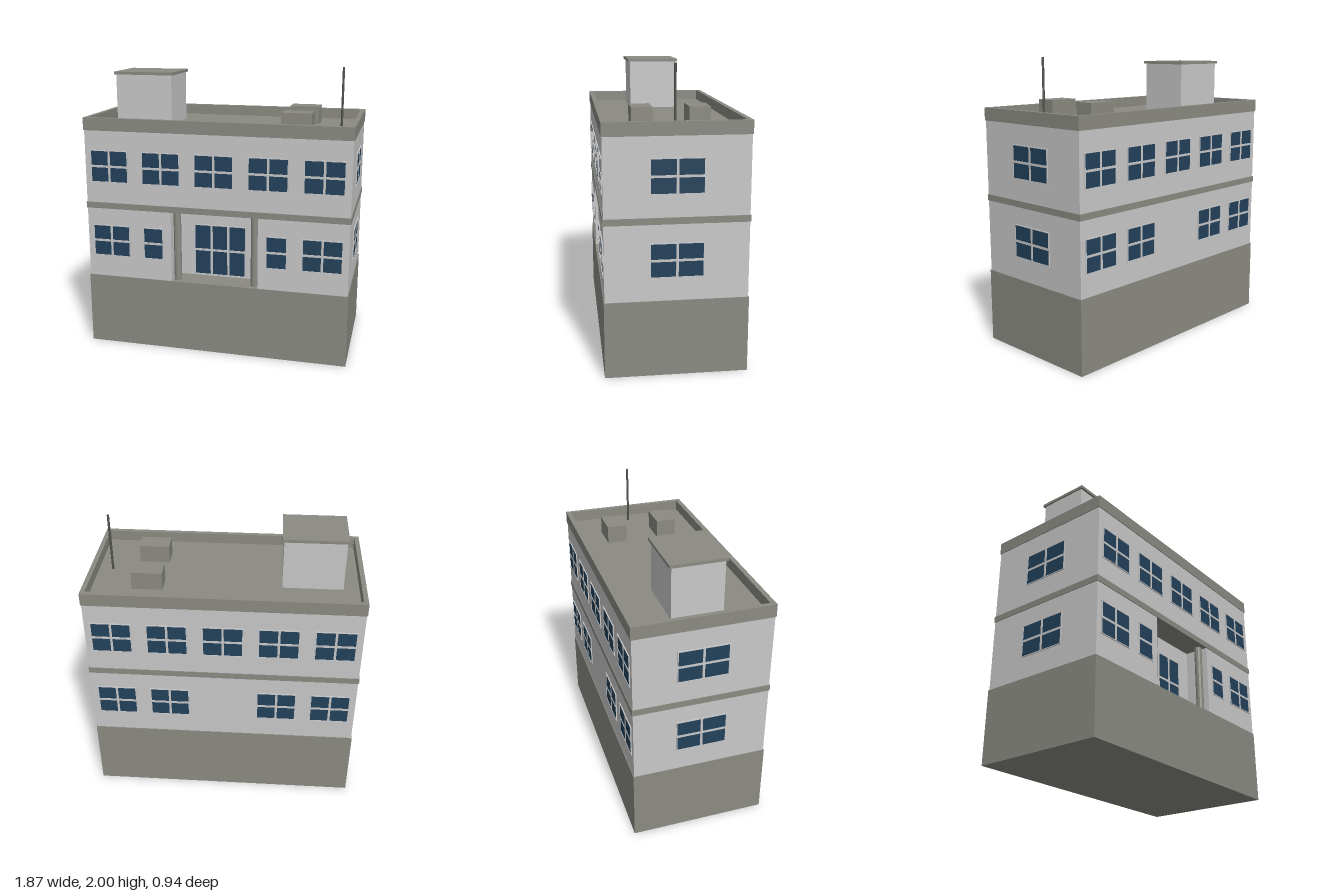
import * as THREE from 'three';

const mat = (name, color) => {
  const m = new THREE.MeshStandardMaterial({ color });
  m.name = name;
  return m;
};

export function createModel() {
  const model = new THREE.Group();
  model.name = 'building';
  const wallMat = mat('light grey wall', 0xc9c9c9);
  const trimMat = mat('warm grey concrete', 0x8b8b83);
  const glassMat = mat('dark blue glass', 0x22415b);
  const metalMat = mat('dark metal', 0x55554f);

  const X = 0.935, Z = 0.468;       // outer half sizes of base and trim
  const WX = 0.93, WZ = 0.463;      // half sizes of the walls
  const RX = 0.31, RZ = WZ - 0.175; // entrance recess: half width, back plane

  const add = (name, geo, material, parent = model) => {
    const m = new THREE.Mesh(geo, material);
    m.name = name;
    parent.add(m);
    return m;
  };
  // Box given by its lower and upper limits on each axis
  const box = (name, material, x0, x1, y0, y1, z0, z1, parent = model) => {
    const m = add(name, new THREE.BoxGeometry(x1 - x0, y1 - y0, z1 - z0), material, parent);
    m.position.set((x0 + x1) / 2, (y0 + y1) / 2, (z0 + z1) / 2);
    return m;
  };
  // Floor plan of [x, z] points raised to a height
  const plan = (name, material, pts, y0, y1, hole) => {
    const shape = new THREE.Shape(pts.map(([x, z]) => new THREE.Vector2(x, -z)));
    if (hole) shape.holes.push(new THREE.Path(hole.map(([x, z]) => new THREE.Vector2(x, -z))));
    const geo = new THREE.ExtrudeGeometry(shape, { depth: y1 - y0, bevelEnabled: false });
    geo.rotateX(-Math.PI / 2);
    add(name, geo, material).position.y = y0;
  };
  const rect = (x, z) => [[-x, z], [x, z], [x, -z], [-x, -z]];

  // Main masses
  box('base', trimMat, -X, X, 0, 0.513, -Z, Z);
  plan('groundFloorWalls', wallMat, [
    [-WX, WZ], [-RX, WZ], [-RX, RZ], [RX, RZ], [RX, WZ], [WX, WZ], [WX, -WZ], [-WX, -WZ],
  ], 0.513, 1.017);
  box('floorBand', trimMat, -X, X, 1.017, 1.06, -Z, Z);
  box('upperFloorWalls', wallMat, -WX, WX, 1.06, 1.572, -WZ, WZ);
  plan('parapet', trimMat, rect(X, Z), 1.572, 1.66, rect(0.903, 0.434));
  box('roofDeck', trimMat, -0.904, 0.904, 1.565, 1.586, -0.435, 0.435);

  // Glazing on a facade: one glass sheet with frame and glazing bars in front
  const glazing = (name, parent, cx, y0, y1, w, cols, barW = 0.016) => {
    const g = new THREE.Group();
    g.name = name;
    parent.add(g);
    const x0 = cx - w / 2, x1 = cx + w / 2, e = 0.006, d = 0.007;
    box('glass', glassMat, x0, x1, y0, y1, -0.002, 0.004, g);
    for (const y of [y0, y1]) box('frameRail', wallMat, x0 - e, x1 + e, y - e / 2, y + e / 2, 0, d, g);
    for (const x of [x0, x1]) box('frameStile', wallMat, x - e / 2, x + e / 2, y0, y1, 0, d, g);
    const mid = (y0 + y1) / 2;
    box('crossBar', wallMat, x0, x1, mid - barW / 2, mid + barW / 2, 0, d, g);
    for (let i = 1; i < cols; i++) {
      const x = x0 + (w * i) / cols;
      box('uprightBar', wallMat, x - barW / 2, x + barW / 2, y0, y1, 0, d, g);
    }
  };
  const facade = (name, angle, dist) => {
    const g = new THREE.Group();
    g.name = name;
    g.rotation.y = angle;
    g.position.set(Math.sin(angle) * dist, 0, Math.cos(angle) * dist);
    model.add(g);
    return g;
  };
  const LOW = [0.67, 0.893], HIGH = [1.21, 1.433];
  const front = facade('frontWindows', 0, WZ);
  const back = facade('backWindows', Math.PI, WZ);
  const left = facade('leftWindows', Math.PI / 2, WX);
  const right = facade('rightWindows', -Math.PI / 2, WX);

  for (const f of [front, back]) {
    for (let i = -2; i <= 2; i++) glazing('upperWindow', f, i * 0.376, ...HIGH, 0.268, 2);
  }
  for (const s of [-1, 1]) {
    glazing('lowerWindow', front, s * 0.752, ...LOW, 0.268, 2);
    glazing('narrowWindow', front, s * 0.44, ...LOW, 0.14, 1);
    glazing('lowerWindow', back, s * 0.752, ...LOW, 0.268, 2);
    glazing('lowerWindow', back, s * 0.376, ...LOW, 0.268, 2);
  }
  for (const f of [left, right]) {
    for (const span of [LOW, HIGH]) glazing('sideWindow', f, 0, ...span, 0.34, 2);
  }

  // Recessed entrance with two columns
  glazing('entranceDoors', facade('entrance', 0, RZ), 0, 0.525, 0.893, 0.37, 3);
  for (const s of [-1, 1]) {
    const geo = new THREE.CylinderGeometry(0.027, 0.027, 0.504, 12).toNonIndexed();
    geo.computeVertexNormals();
    add('entranceColumn', geo, trimMat).position.set(s * 0.278, 0.765, 0.41);
  }

  // Roof structures
  box('stairHouse', wallMat, -0.795, -0.383, 1.586, 1.935, -0.173, 0.173);
  box('stairHouseRoof', trimMat, -0.805, -0.371, 1.935, 1.955, -0.188, 0.188);
  for (const s of [-1, 1]) {
    const unit = box('roofUnit', trimMat, 0.42, 0.63, 1.586, 1.71, -0.07, 0.07);
    unit.position.z = s * 0.188;
  }
  add('antenna', new THREE.CylinderGeometry(0.008, 0.008, 0.414, 10), metalMat)
    .position.set(0.805, 1.793, 0);

  return model;
}
